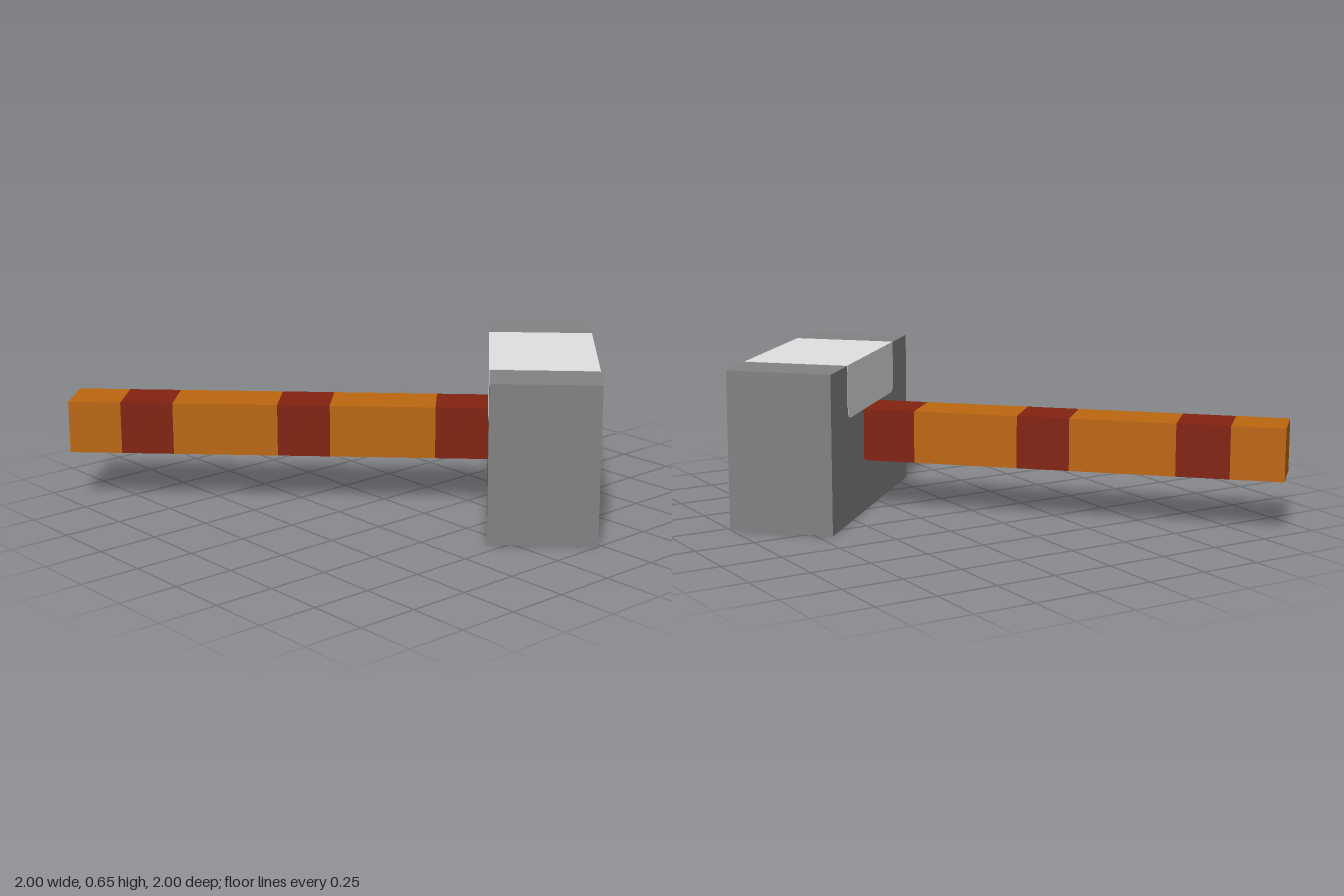
import * as THREE from 'three';

const U = Math.SQRT2 * 2 / 13; // one module: the handle's thickness

function material(name, color) {
  const m = new THREE.MeshStandardMaterial({ color });
  m.name = name;
  return m;
}

export function createModel() {
  const steel = material('steel grey', 0x828282);
  const silver = material('light silver', 0xe0e0e0);
  const wood = material('orange wood', 0xbc6710);
  const leather = material('dark red leather', 0x82220f);

  const model = new THREE.Group();
  model.name = 'hammer';
  model.rotation.y = -Math.PI / 4; // lies diagonally, head at back right

  const add = (name, geometry, mat, x, y, z) => {
    const mesh = new THREE.Mesh(geometry, mat);
    mesh.name = name;
    mesh.position.set(x, y, z);
    model.add(mesh);
  };

  // Head block
  add('head', new THREE.BoxGeometry(5 * U, 3 * U, 2 * U), steel, 0, 1.5 * U, -3 * U);

  // Silver saddle: covers the top and folds down both faces, rounded lower corners
  const lift = 0.002, w = 1.5 * U, r = 0.035, top = U + lift;
  const saddle = new THREE.Shape();
  saddle.moveTo(-w, top);
  saddle.lineTo(-w, r);
  saddle.quadraticCurveTo(-w, 0, -w + r, 0);
  saddle.lineTo(w - r, 0);
  saddle.quadraticCurveTo(w, 0, w, r);
  saddle.lineTo(w, top);
  saddle.closePath();
  add('headSaddle', new THREE.ExtrudeGeometry(saddle, {
    depth: 2 * U + 2 * lift, bevelEnabled: false, curveSegments: 6,
  }), silver, 0, 2 * U, -4 * U - lift);

  // Handle: alternating leather bands and wood sections, from head to end
  let z = -2 * U;
  [1, 2, 1, 2, 1, 1].forEach((n, i) => {
    const band = i % 2 === 0;
    add(band ? 'handleBand' : 'handleWood', new THREE.BoxGeometry(U, U, n * U),
      band ? leather : wood, 0, 1.5 * U, z + n * U / 2);
    z += n * U;
  });

  const root = new THREE.Group();
  root.name = 'model';
  root.add(model);
  return root;
}
